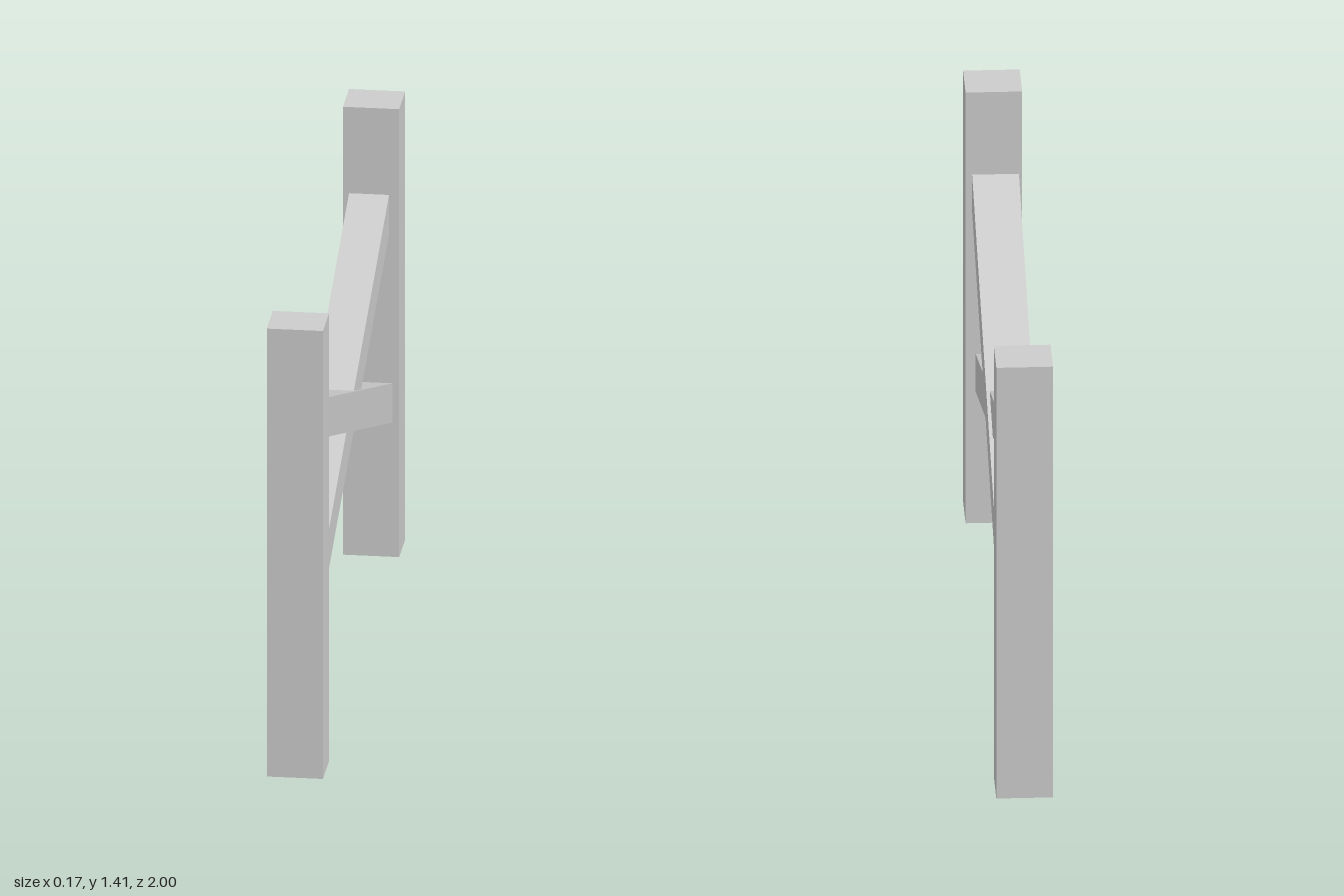
import * as THREE from 'three';

const POST_HEIGHT = 1.414, POST_WIDTH = 0.167, POST_DEPTH = 0.148;
const INNER = 1 - POST_DEPTH; // z of the inner post faces

// Sloping brace cut vertically where it meets the posts
function makeBrace(name, frontY, backY, height, width, centerX, material) {
  const h = height / 2;
  const shape = new THREE.Shape([
    new THREE.Vector2(-INNER, backY - h),
    new THREE.Vector2(INNER, frontY - h),
    new THREE.Vector2(INNER, frontY + h),
    new THREE.Vector2(-INNER, backY + h),
  ]);
  const geometry = new THREE.ExtrudeGeometry(shape, { depth: width, bevelEnabled: false });
  geometry.translate(0, 0, -width / 2).rotateY(-Math.PI / 2);
  const brace = new THREE.Mesh(geometry, material);
  brace.name = name;
  brace.position.x = centerX;
  return brace;
}

export function createModel() {
  const model = new THREE.Group();
  model.name = 'crossBracedFence';
  const grey = new THREE.MeshStandardMaterial({ color: 0xcccccc });
  grey.name = 'light grey';

  // Upright posts at both ends
  const postGeometry = new THREE.BoxGeometry(POST_WIDTH, POST_HEIGHT, POST_DEPTH);
  for (const [name, side] of [['frontPost', 1], ['backPost', -1]]) {
    const post = new THREE.Mesh(postGeometry, grey);
    post.name = name;
    post.position.set(0, POST_HEIGHT / 2, side * (1 - POST_DEPTH / 2));
    model.add(post);
  }

  // Crossed braces; the first is slightly wider than the second
  model.add(makeBrace('wideBrace', 1.082, 0.486, 0.124, 0.138, -0.005, grey));
  model.add(makeBrace('narrowBrace', 0.493, 1.08, 0.124, 0.119, -0.006, grey));
  return model;
}
